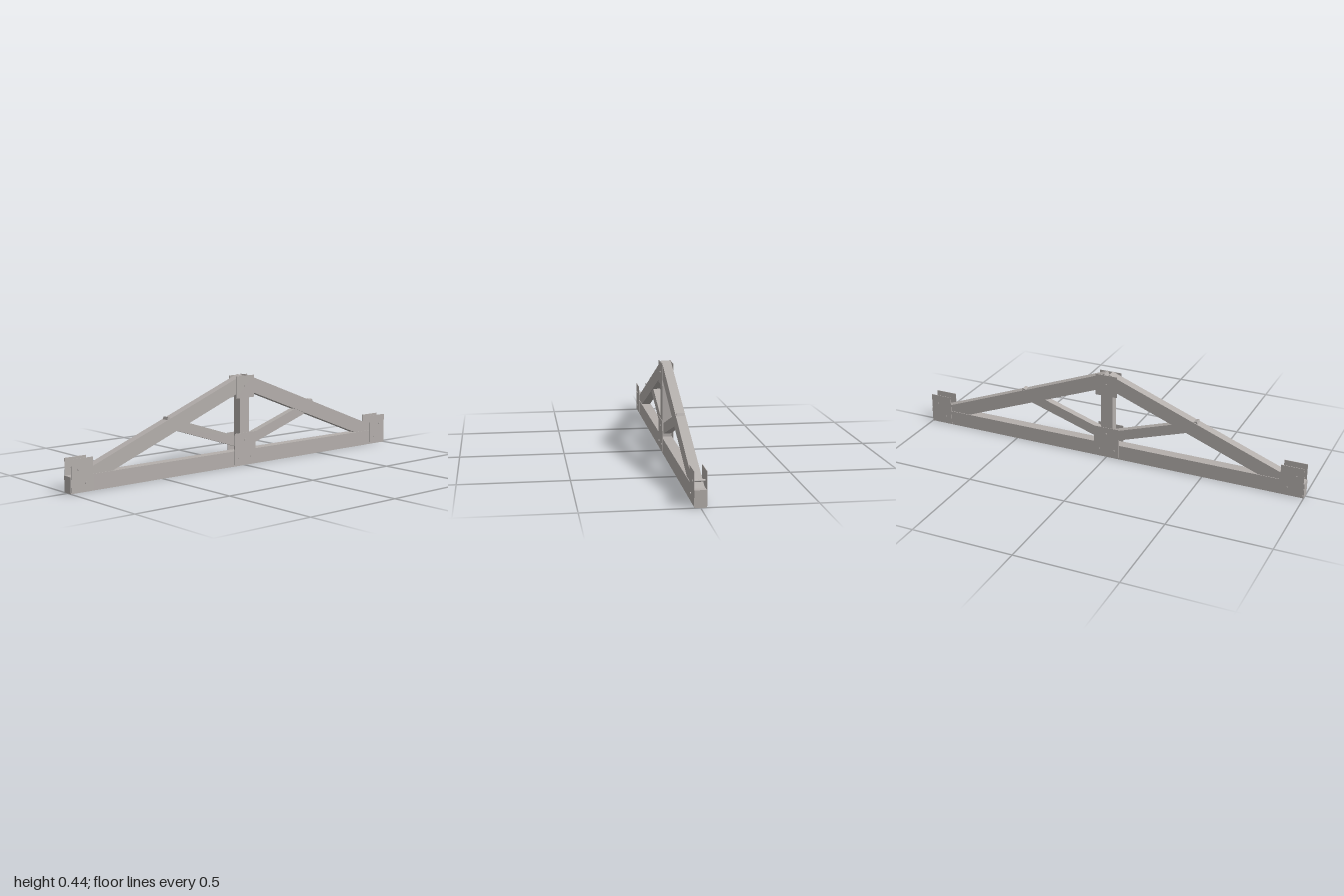
import * as THREE from 'three';

export function createModel() {
  const truss = new THREE.Group();
  truss.name = 'roofTruss';
  const timber = new THREE.MeshStandardMaterial({ color: 0xb4afac });
  timber.name = 'warm grey';

  const add = (name, geometry, x, y, z = 0) => {
    const mesh = new THREE.Mesh(geometry, timber);
    mesh.name = name;
    mesh.position.set(x, y, z);
    truss.add(mesh);
    return mesh;
  };

  // Square-ended timber laid along a line between two points
  const beam = (name, [x1, y1], [x2, y2], depth, width) => {
    const length = Math.hypot(x2 - x1, y2 - y1);
    const mesh = add(name, new THREE.BoxGeometry(length, depth, width), (x1 + x2) / 2, (y1 + y2) / 2);
    mesh.rotation.z = Math.atan2(y2 - y1, x2 - x1);
  };

  // Pair of thin steel plates, front and back
  const plates = (name, x1, x2, y1, y2) => {
    for (const s of [1, -1]) {
      add(name, new THREE.BoxGeometry(x2 - x1, y2 - y1, 0.0025), (x1 + x2) / 2, (y1 + y2) / 2, s * 0.0265);
    }
  };

  // Bolt passing through both plates
  const bolt = (x, y) => {
    const geometry = new THREE.CylinderGeometry(0.0055, 0.0055, 0.062, 12);
    geometry.rotateX(Math.PI / 2);
    add('bolt', geometry, x, y);
  };

  // Bottom chord and king post
  add('bottomChord', new THREE.BoxGeometry(2, 0.075, 0.05), 0, 0.0375);
  add('kingPost', new THREE.BoxGeometry(0.06, 0.335, 0.044), 0, 0.2375);

  // Mirrored rafters, struts and heel joints
  for (const s of [1, -1]) {
    const side = s > 0 ? 'left' : 'right';
    beam(side + 'Rafter', [s * 0.975, 0.0365], [0, 0.4115], 0.07, 0.044);
    beam(side + 'Strut', [0, 0.1065], [s * 0.47, 0.259], 0.05, 0.034);
    plates(side + 'HeelPlate', s * 0.94 - 0.056, s * 0.94 + 0.056, 0.005, 0.153);
    bolt(s * 0.96, 0.105);
    bolt(s * 0.92, 0.04);
    bolt(s * 0.04, 0.04);
  }

  // Centre and ridge joints
  plates('centrePlate', -0.067, 0.067, 0.008, 0.161);
  bolt(0, 0.125);
  plates('ridgePlate', -0.056, 0.056, 0.332, 0.44);
  bolt(0, 0.39);

  return truss;
}
